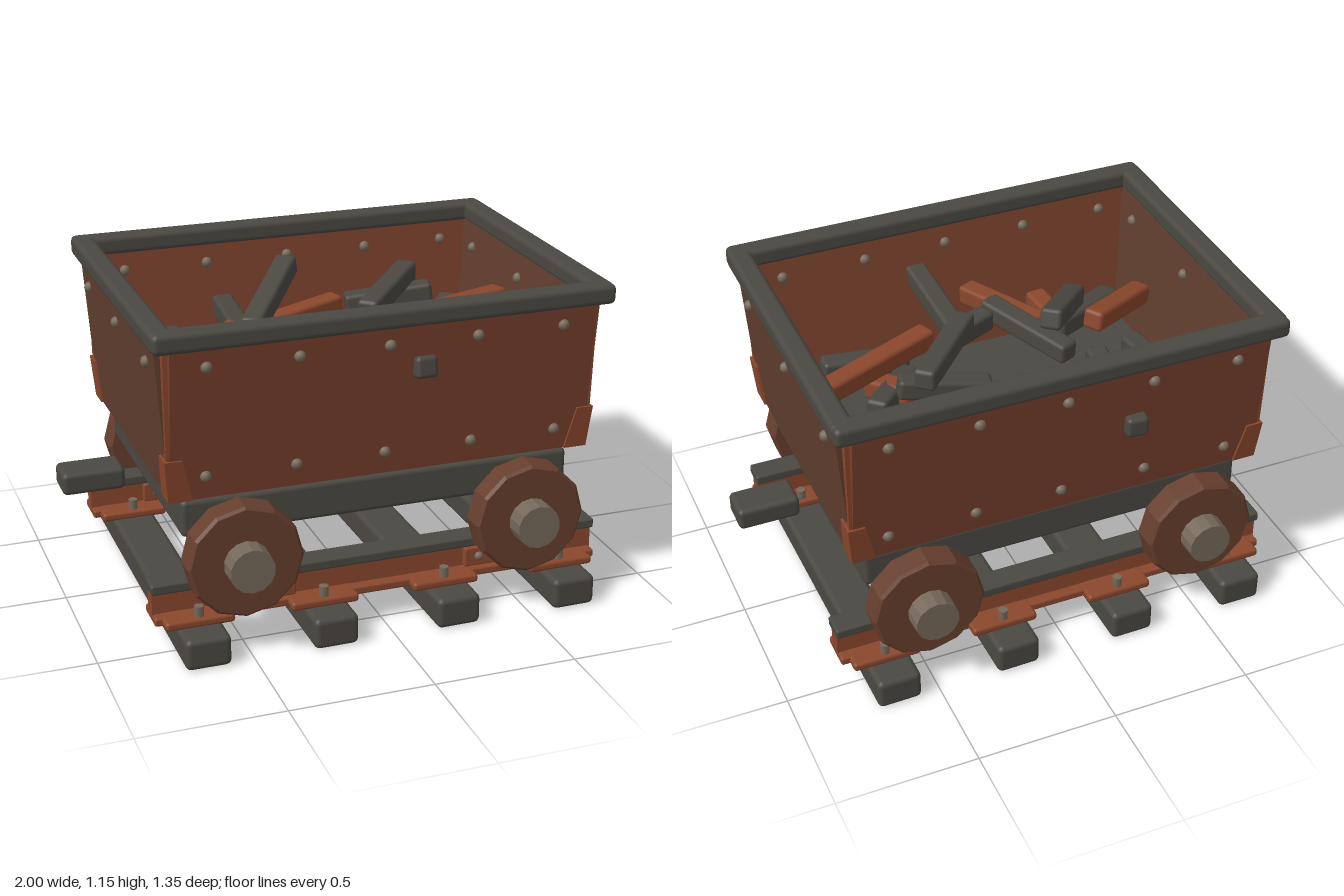
import * as THREE from 'three';
import { RoundedBoxGeometry } from 'three/addons/geometries/RoundedBoxGeometry.js';

const paint = (name, color) => {
  const m = new THREE.MeshStandardMaterial({ color });
  m.name = name;
  return m;
};

export function createModel() {
  const model = new THREE.Group();
  model.name = 'mineCart';
  const iron = paint('dark iron', 0x4b4842);
  const rust = paint('rusty side plate', 0x78402c);
  const brown = paint('brown end plate', 0x613e2f);
  const wheelBrown = paint('wheel brown', 0x673f2e);
  const orange = paint('bright rust', 0x8a472c);
  const steel = paint('worn steel', 0x746859);

  const group = (name, parent = model) => {
    const g = new THREE.Group();
    g.name = name;
    parent.add(g);
    return g;
  };
  const add = (name, geo, mat, pos = [0, 0, 0], parent = model) => {
    const m = new THREE.Mesh(geo, mat);
    m.name = name;
    m.position.set(...pos);
    parent.add(m);
    return m;
  };
  const rbox = (w, h, d, r = 0.015) => new RoundedBoxGeometry(w, h, d, 2, r);
  const flat = (geo) => {
    const g = geo.toNonIndexed();
    g.computeVertexNormals();
    return g;
  };
  // box with separate bottom and top rectangles: [x0, x1, z0, z1]
  const taper = (y0, y1, bottom, top) => {
    const geo = new THREE.BoxGeometry(1, 1, 1);
    const p = geo.attributes.position;
    for (let i = 0; i < p.count; i++) {
      const up = p.getY(i) > 0;
      const r = up ? top : bottom;
      p.setXYZ(i, r[p.getX(i) > 0 ? 1 : 0], up ? y1 : y0, r[p.getZ(i) > 0 ? 3 : 2]);
    }
    return flat(geo);
  };
  const rivet = (pos, parent, r = 0.02) => add('rivet', new THREE.SphereGeometry(r, 10, 8), steel, pos, parent);

  // sleepers, slightly askew
  const sleeperX = [-0.66, -0.222, 0.218, 0.655];
  const track = group('track');
  sleeperX.forEach((x, i) => {
    const s = add('sleeper', rbox(0.157, 0.11, 1.325, 0.02), iron, [x, 0.055, 0], track);
    s.rotation.y = [0, 0.012, 0.018, 0.014][i];
  });

  // rails with base plates, spikes and splice plates
  for (const z of [-0.455, 0.455]) {
    const rail = group('rail', track);
    rail.position.z = z;
    add('railFoot', rbox(1.61, 0.03, 0.13, 0.008), orange, [0, 0.122, 0], rail);
    add('railWeb', new THREE.BoxGeometry(1.61, 0.09, 0.055), orange, [0, 0.172, 0], rail);
    add('railHead', rbox(1.62, 0.036, 0.09, 0.008), iron, [0, 0.23, 0], rail);
    for (const x of sleeperX) {
      add('basePlate', rbox(0.24, 0.032, 0.225, 0.012), orange, [x, 0.122, 0], rail);
      for (const s of [-1, 1]) {
        add('spike', new THREE.CylinderGeometry(0.017, 0.017, 0.05, 8), steel, [x, 0.15, s * 0.085], rail);
      }
    }
    for (const x of [-0.46, 0.46]) {
      add('splicePlate', rbox(0.3, 0.07, 0.03, 0.006), orange, [x, 0.178, 0.042], rail);
      for (const dx of [-0.1, 0.1]) rivet([x + dx, 0.18, 0.058], rail, 0.016);
    }
  }

  // chassis and buffers
  add('chassis', rbox(1.39, 0.132, 0.97, 0.018), iron, [0, 0.464, 0]);
  for (const s of [-1, 1]) add('buffer', rbox(0.22, 0.08, 0.132, 0.018), iron, [s * 0.89, 0.457, 0]);

  // axles, wheels and hubs
  for (const x of [-0.51, 0.51]) {
    const axle = add('axle', new THREE.CylinderGeometry(0.053, 0.053, 1.04, 12), iron, [x, 0.33, 0]);
    axle.rotation.x = Math.PI / 2;
    for (const s of [-1, 1]) {
      const profile = [[0, -0.05], [0.19, -0.05], [0.2, -0.04], [0.2, 0.04], [0.19, 0.05], [0, 0.05]];
      const geo = new THREE.LatheGeometry(profile.map((p) => new THREE.Vector2(...p)), 12);
      const wheel = add('wheel', flat(geo), wheelBrown, [x, 0.337, s * 0.555]);
      wheel.rotation.x = Math.PI / 2;
      const hub = add('hub', flat(new THREE.CylinderGeometry(0.077, 0.08, 0.09, 14)), steel, [x, 0.337, s * 0.632]);
      hub.rotation.x = s * Math.PI / 2;
    }
  }

  // tub: flared plates, floor, corner irons and rivets
  const tub = group('tub');
  const y0 = 0.55, y1 = 1.09;
  add('floor', new THREE.BoxGeometry(1.4, 0.05, 0.95), iron, [0, 0.576, 0], tub);
  for (const s of [-1, 1]) {
    const span = (a, b) => (s > 0 ? [a, b] : [-b, -a]);
    add('sidePlate', taper(y0, y1, [-0.74, 0.74, ...span(0.43, 0.517)], [-0.74, 0.74, ...span(0.527, 0.575)]), rust, [0, 0, 0], tub);
    add('endPlate', taper(y0, y1, [...span(0.662, 0.74), -0.517, 0.517], [...span(0.722, 0.78), -0.517, 0.517]), brown, [0, 0, 0], tub);
    for (const x of [-0.62, -0.31, 0, 0.31, 0.62]) {
      rivet([x, 1.02, s * 0.568], tub);
      rivet([x, 1.02, s * 0.517], tub);
      rivet([x, 0.63, s * 0.525], tub);
      rivet([x, 0.63, s * 0.446], tub);
    }
    for (const z of [-0.41, 0, 0.41]) {
      rivet([s * 0.775, 1.005, z], tub);
      rivet([s * 0.714, 1.005, z], tub);
    }
    for (const t of [-1, 1]) {
      const quad = (a, b, c, d) => [...(s > 0 ? [a, b] : [-b, -a]), ...(t > 0 ? [c, d] : [-d, -c])];
      add('cornerFoot', taper(y0, 0.7, quad(0.664, 0.747, 0.436, 0.525), quad(0.7, 0.76, 0.465, 0.541)), orange, [0, 0, 0], tub);
      add('cornerStrip', taper(0.68, y1, quad(0.72, 0.752, 0.5, 0.53), quad(0.73, 0.757, 0.51, 0.546)), orange, [0, 0, 0], tub);
    }
  }

  // rim bars
  for (const s of [-1, 1]) {
    add('sideRim', rbox(1.6, 0.07, 0.08, 0.02), iron, [0, 1.115, s * 0.558], tub);
    add('endRim', rbox(0.08, 0.07, 1.15, 0.02), iron, [s * 0.762, 1.115, 0], tub);
  }

  // load of loose bars, each given by its two ends
  const load = group('load');
  const bar = (mat, a, b) => {
    const from = new THREE.Vector3(...a), to = new THREE.Vector3(...b);
    const mid = from.clone().add(to).multiplyScalar(0.5);
    const m = add('looseBar', rbox(0.077, 0.075, from.distanceTo(to), 0.015), mat, mid.toArray(), load);
    m.lookAt(to);
  };
  [
    [[-0.515, 0.82, -0.335], [-0.485, 0.8, -0.04]],
    [[-0.25, 0.855, -0.59], [-0.295, 0.87, -0.15]],
    [[-0.1, 1.09, -0.2], [-0.33, 0.96, 0.1]],
    [[-0.51, 0.86, 0.18], [-0.2, 0.92, -0.02]],
    [[-0.21, 0.88, -0.13], [-0.05, 0.9, 0.24]],
    [[0.13, 0.9, -0.23], [0.44, 0.94, -0.16]],
    [[0.38, 1.0, -0.25], [0.1, 0.97, 0.08]],
    [[-0.01, 0.92, 0.14], [0.17, 0.92, 0.06]],
    [[0.53, 0.88, -0.19], [0.33, 0.84, 0.03]],
    [[0.29, 0.82, 0.15], [0.6, 0.84, 0.17]],
    [[0.1, 0.87, 0.16], [0.125, 0.935, 0.59]],
  ].forEach(([a, b]) => bar(iron, a, b));
  [
    [[-0.2, 0.85, -0.21], [0.13, 0.88, -0.31]],
    [[-0.63, 0.86, 0.16], [-0.34, 0.92, -0.03]],
    [[-0.305, 0.8, 0.14], [-0.29, 0.8, 0.36]],
    [[-0.21, 0.85, 0.11], [-0.06, 0.82, 0.47]],
    [[0.23, 0.93, 0.1], [0.68, 0.92, -0.08]],
    [[0.38, 0.88, -0.14], [0.48, 0.84, 0.02]],
  ].forEach(([a, b]) => bar(orange, a, b));

  return model;
}
